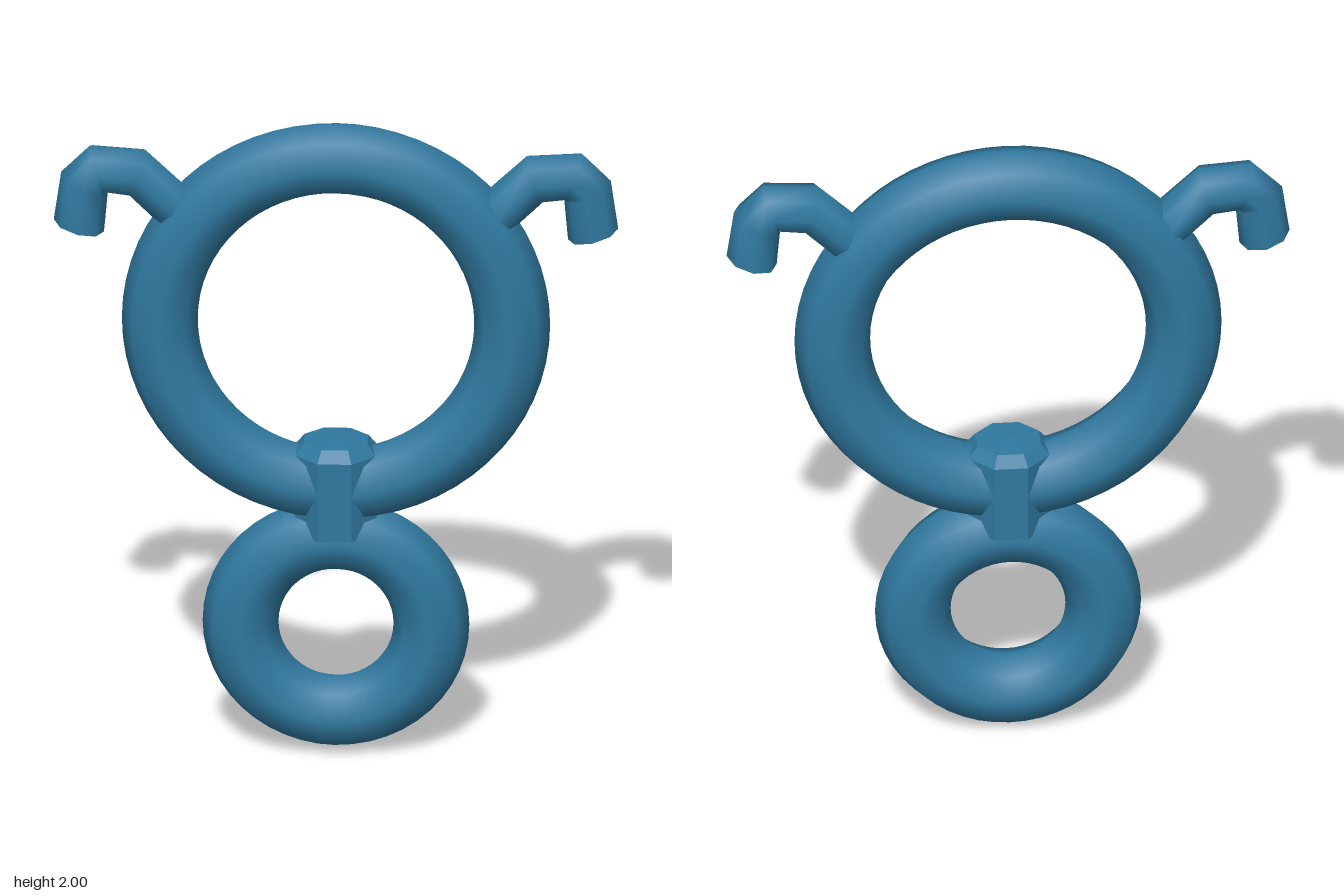
import * as THREE from 'three';

const TUBE = 0.1125; // ring thickness radius
const SIDES = 8;

// Bent octagonal pipe: each section is [outerX, outerY, innerX, innerY], lying in the z = 0 plane
function pipeGeometry(sections, depth) {
  const pos = [], idx = [];
  const addLoop = ([ox, oy, ix, iy]) => {
    const start = pos.length / 3;
    for (let j = 0; j < SIDES; j++) {
      const a = (j / SIDES) * Math.PI * 2, c = Math.cos(a) / 2;
      pos.push((ox + ix) / 2 + (ox - ix) * c, (oy + iy) / 2 + (oy - iy) * c, depth * Math.sin(a));
    }
    return start;
  };
  const loops = sections.map(addLoop);
  for (let i = 0; i < loops.length - 1; i++) {
    for (let j = 0; j < SIDES; j++) {
      const k = (j + 1) % SIDES;
      const a = loops[i] + j, b = loops[i] + k, c = loops[i + 1] + j, d = loops[i + 1] + k;
      idx.push(a, b, c, b, d, c);
    }
  }
  // Flat end caps with their own vertices, so the rims stay sharp
  const first = addLoop(sections[0]);
  const last = addLoop(sections[sections.length - 1]);
  for (let j = 1; j < SIDES - 1; j++) {
    idx.push(first, first + j + 1, first + j, last, last + j, last + j + 1);
  }
  const geo = new THREE.BufferGeometry();
  geo.setAttribute('position', new THREE.Float32BufferAttribute(pos, 3));
  geo.setIndex(idx);
  geo.computeVertexNormals();
  return geo;
}

export function createModel() {
  const group = new THREE.Group();
  const blue = new THREE.MeshStandardMaterial({ color: 0x2f789f });
  blue.name = 'blue';

  const add = (name, geo, y = 0, material = blue) => {
    const mesh = new THREE.Mesh(geo, material);
    mesh.name = name;
    mesh.position.y = y;
    group.add(mesh);
    return mesh;
  };

  // Two upright rings
  add('largeRing', new THREE.TorusGeometry(0.5225, TUBE, SIDES, 64), 1.365);
  add('smallRing', new THREE.TorusGeometry(0.283, TUBE, SIDES, 48), 0.398);

  // Eight-sided post joining the rings, with a bevelled top
  const profile = [[0, 0.7], [0.122, 0.7], [0.122, 0.95], [0.095, 0.985], [0, 0.99]]
    .map(([r, y]) => new THREE.Vector2(r, y));
  const postGeo = new THREE.LatheGeometry(profile, SIDES, Math.PI / SIDES).toNonIndexed();
  postGeo.scale(1.08, 1, 1);
  postGeo.computeVertexNormals();
  add('connector', postGeo);

  // Hooked arms, turned half round for the second side
  const armGeo = pipeGeometry([
    [0.44, 1.785, 0.51, 1.655],
    [0.566, 1.905, 0.613, 1.757],
    [0.73, 1.915, 0.677, 1.767],
    [0.815, 1.83, 0.677, 1.765],
    [0.837, 1.677, 0.688, 1.64],
  ], 0.077);
  add('leftArm', armGeo);
  add('rightArm', armGeo).rotation.y = Math.PI;

  return group;
}
